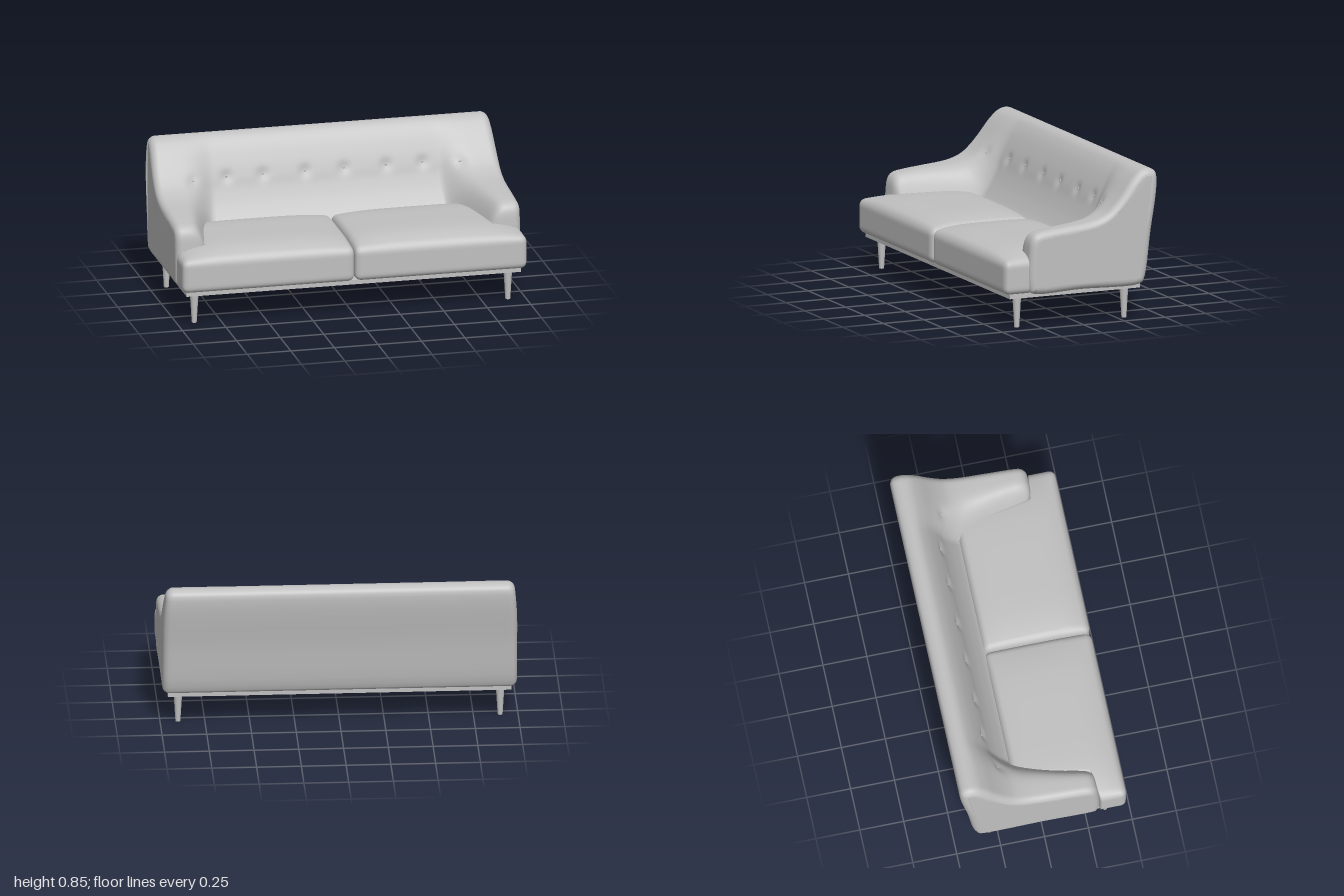
import * as THREE from 'three';
import { mergeVertices } from 'three/addons/utils/BufferGeometryUtils.js';

const fabric = new THREE.MeshStandardMaterial({ color: 0xc0c0c0 });
fabric.name = 'grey';

function addMesh(group, name, geometry, x = 0, y = 0, z = 0) {
  const mesh = new THREE.Mesh(geometry, fabric);
  mesh.name = name;
  mesh.position.set(x, y, z);
  group.add(mesh);
  return mesh;
}

// Matching [z, y] side sections: underside, rear face, rounded top, front slope
const shared = [[0.3, 0.195], [0, 0.195], [-0.36, 0.195], [-0.385, 0.215], [-0.43, 0.5],
  [-0.472, 0.79], [-0.46, 0.83], [-0.42, 0.847]];
const armSection = [...shared, [-0.37, 0.835], [-0.32, 0.79], [-0.25, 0.7], [-0.2, 0.645], [-0.15, 0.605],
  [-0.07, 0.575], [0.1, 0.555], [0.2, 0.545], [0.275, 0.53], [0.302, 0.5], [0.315, 0.42], [0.317, 0.22]];
const backSection = [...shared, [-0.38, 0.838], [-0.335, 0.79], [-0.285, 0.7], [-0.255, 0.63], [-0.23, 0.56],
  [-0.18, 0.46], [-0.12, 0.38], [0, 0.32], [0.2, 0.3], [0.26, 0.29], [0.27, 0.27], [0.28, 0.22]];
const RING = 120;
const BUTTONS = [-0.77, -0.57, -0.35, -0.115, 0.115, 0.35, 0.57, 0.77];

function sample(points) {
  const curve = new THREE.CatmullRomCurve3(points.map(([z, y]) => new THREE.Vector3(0, y, z)), true);
  return Array.from({ length: RING }, (_, j) => curve.getPoint(j / RING));
}

// Columns from the outer side to the middle: rounded edge, arm, back rest
function shellColumns() {
  const columns = [];
  const edge = 0.04, armWidth = 0.18;
  for (let k = 0; k <= 6; k++) {
    const t = (1 - k / 6) * Math.PI / 2;
    columns.push({ d: -edge * Math.sin(t), inset: edge * (1 - Math.cos(t)), arm: 1, f: 1 });
  }
  for (let k = 1; k <= 20; k++) {
    const q = k / 20;
    columns.push({ d: armWidth * q, inset: 0, arm: (1 + Math.cos(Math.PI * q ** 2.3)) / 2, f: 1 });
  }
  for (let k = 1; k <= 40; k++) columns.push({ d: armWidth, inset: 0, arm: 0, f: 1 - k / 40 });
  return columns;
}

// Arms and back in one skin, lofted across the width
function shellGeometry(buttonSpots) {
  const arm = sample(armSection), back = sample(backSection);
  const half = shellColumns();
  const columns = [...half.map(c => ({ ...c, side: -1 })),
    ...half.slice(0, -1).reverse().map(c => ({ ...c, side: 1 }))];
  const pos = [], index = [];
  for (const c of columns) {
    for (let j = 0; j < RING; j++) {
      const p = back[j].clone().lerp(arm[j], c.arm);
      // pull the outer edge inwards along the section normal
      const t = arm[(j + 1) % RING].clone().sub(arm[(j + RING - 1) % RING]).normalize();
      p.z += t.y * c.inset;
      p.y -= t.z * c.inset;
      // arms grow thicker towards the back
      const spread = c.d > 0 ? 1 + THREE.MathUtils.clamp((0.3 - p.z) * 1.33, 0, 0.7) : 1;
      const lean = 0.02 * Math.max(0, (p.y - 0.55) / 0.3) ** 2;
      pos.push(c.side * (0.95 - c.d * spread - lean) * c.f, p.y, p.z);
    }
  }
  // dimples under the buttons
  const first = RING * 0.45, last = RING * 0.7;
  for (const bx of BUTTONS) {
    let best = 0, bestDistance = Infinity;
    for (let i = 0; i < columns.length; i++) {
      for (let j = first; j < last; j++) {
        const o = (i * RING + j) * 3;
        const distance = Math.hypot(pos[o] - bx, pos[o + 1] - 0.632);
        if (distance < bestDistance) { bestDistance = distance; best = o; }
      }
    }
    const [cx, cy] = [pos[best], pos[best + 1]];
    for (let i = 0; i < columns.length; i++) {
      for (let j = first; j < last; j++) {
        const o = (i * RING + j) * 3;
        const d2 = (pos[o] - cx) ** 2 + (pos[o + 1] - cy) ** 2;
        pos[o + 2] -= 0.012 * Math.exp(-d2 / 0.0009);
      }
    }
    buttonSpots.push([cx, cy, pos[best + 2]]);
  }
  for (let i = 0; i < columns.length - 1; i++) {
    for (let j = 0; j < RING; j++) {
      const a = i * RING + j, b = i * RING + (j + 1) % RING;
      index.push(a, b, a + RING, b, b + RING, a + RING);
    }
  }
  // outer side faces
  for (const [start, side] of [[0, -1], [(columns.length - 1) * RING, 1]]) {
    const outline = Array.from({ length: RING }, (_, j) =>
      new THREE.Vector2(pos[(start + j) * 3 + 2], pos[(start + j) * 3 + 1]));
    for (const [a, b, c] of THREE.ShapeUtils.triangulateShape(outline, [])) {
      const area = THREE.ShapeUtils.area([outline[a], outline[b], outline[c]]);
      if (area * side < 0) index.push(start + a, start + b, start + c);
      else index.push(start + a, start + c, start + b);
    }
  }
  const g = new THREE.BufferGeometry();
  g.setAttribute('position', new THREE.Float32BufferAttribute(pos, 3));
  g.setIndex(index);
  g.computeVertexNormals();
  return g;
}

// Seat cushion: rounded box, narrowed between the arms and crowned on top
function cushionGeometry(side) {
  const h = new THREE.Vector3(0.49, 0.095, 0.305), r = 0.035;
  let g = new THREE.BoxGeometry(h.x * 2, h.y * 2, h.z * 2, 60, 16, 90);
  g.deleteAttribute('uv');
  g.deleteAttribute('normal');
  const p = new THREE.Vector3(), core = new THREE.Vector3();
  const inner = h.clone().subScalar(r), innerNeg = inner.clone().negate();
  const at = g.attributes.position;
  for (let i = 0; i < at.count; i++) {
    p.fromBufferAttribute(at, i);
    core.copy(p).clamp(innerNeg, inner);
    p.sub(core);
    if (p.length() > 0) p.setLength(r);
    p.add(core);
    const z = p.z + 0.168;
    const narrow = THREE.MathUtils.clamp(0.77 + (z + 0.13) * 0.19, 0.77, 0.86);
    const reach = THREE.MathUtils.lerp(narrow, 0.988, THREE.MathUtils.smoothstep(z, 0.302, 0.322));
    const x = 0.002 + (side * p.x + h.x) / (2 * h.x) * (reach - 0.002);
    const crown = Math.max(0, 1 - Math.abs((x - 0.46) / 0.53) ** 4)
      * Math.max(0, 1 - Math.abs((z - 0.14) / 0.335) ** 4);
    const y = 0.295 + p.y + (p.y > 0 ? 0.052 * crown * p.y / h.y : 0);
    at.setXYZ(i, side * x, y, z);
  }
  g = mergeVertices(g, 1e-5);
  g.computeVertexNormals();
  return g;
}

export function createModel() {
  const sofa = new THREE.Group();
  sofa.name = 'sofa';

  const spots = [];
  addMesh(sofa, 'armsAndBack', shellGeometry(spots));
  for (const [x, y, z] of spots) {
    addMesh(sofa, 'button', new THREE.SphereGeometry(0.008, 12, 8), x, y, z).scale.z = 0.6;
  }

  addMesh(sofa, 'rightCushion', cushionGeometry(-1));
  addMesh(sofa, 'leftCushion', cushionGeometry(1));

  // Base board and tapered legs
  addMesh(sofa, 'base', new THREE.BoxGeometry(1.92, 0.026, 0.8), 0, 0.187, 0.035);
  for (const x of [-0.9, 0.9]) {
    for (const [name, z] of [['frontLeg', 0.365], ['backLeg', -0.293]]) {
      addMesh(sofa, name, new THREE.CylinderGeometry(0.025, 0.014, 0.178, 24), x, 0.089, z);
    }
  }
  return sofa;
}
